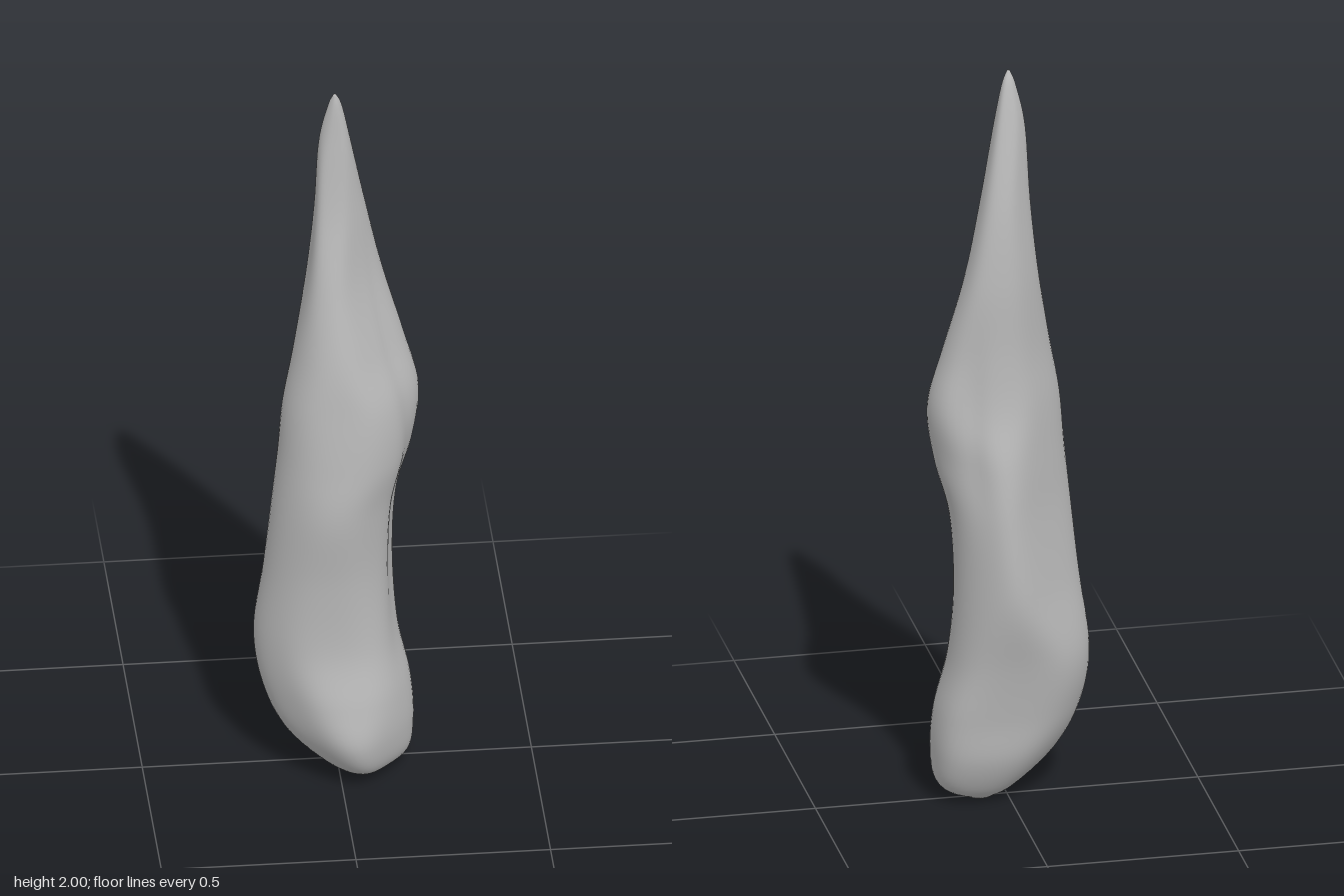
import * as THREE from 'three';

// Each row: height, then the reach of the cross-section in eight compass
// directions, turning from +x through +z, -x and -z.
const SECTIONS = [
  [0.00, 0.105, 0.092, 0.045, -0.007, -0.035, -0.022, 0.025, 0.077],
  [0.04, 0.18, 0.165, 0.16, 0.09, 0.03, 0.04, 0.075, 0.152],
  [0.13, 0.198, 0.192, 0.21, 0.152, 0.142, 0.11, 0.116, 0.19],
  [0.25, 0.192, 0.19, 0.19, 0.18, 0.202, 0.165, 0.13, 0.196],
  [0.40, 0.162, 0.165, 0.157, 0.19, 0.221, 0.19, 0.156, 0.18],
  [0.60, 0.151, 0.15, 0.162, 0.186, 0.197, 0.155, 0.202, 0.18],
  [0.80, 0.161, 0.16, 0.186, 0.186, 0.177, 0.13, 0.204, 0.185],
  [0.95, 0.202, 0.182, 0.176, 0.18, 0.162, 0.12, 0.178, 0.187],
  [1.10, 0.219, 0.172, 0.161, 0.168, 0.15, 0.11, 0.137, 0.207],
  [1.25, 0.182, 0.125, 0.144, 0.141, 0.12, 0.094, 0.122, 0.179],
  [1.45, 0.122, 0.075, 0.101, 0.11, 0.082, 0.085, 0.117, 0.149],
  [1.65, 0.077, 0.052, 0.054, 0.08, 0.059, 0.066, 0.094, 0.106],
  [1.85, 0.037, 0.034, 0.03, 0.042, 0.048, 0.045, 0.047, 0.053],
  [1.96, 0.014, 0.016, 0.02, 0.023, 0.025, 0.02, 0.016, 0.016],
  [2.00, -0.002, 0.0054, 0.012, 0.0139, 0.01, 0.0026, -0.004, -0.0059],
];
// Lengthwise hollows: direction, angular width, mid height, half length, depth
const HOLLOWS = [
  [0.28, 0.28, 0.85, 0.5, 0.1],
  [-1.0, 0.25, 1.1, 0.2, 0.1],
];
const RINGS = 98;
const SEGMENTS = 64;

// Distance from the section's centre to its softly rounded eight-sided outline
function outline(reach, cx, cz, angle) {
  let sum = 0;
  for (let k = 0; k < 8; k++) {
    const a = (k * Math.PI) / 4;
    const distance = Math.max(0.001, reach[k] - cx * Math.cos(a) - cz * Math.sin(a));
    sum += (Math.max(0, Math.cos(angle - a)) / distance) ** 8;
  }
  return sum ** (-1 / 8);
}

// Factor that presses the hollows into the outline
function hollow(angle, y) {
  return HOLLOWS.reduce((factor, [direction, width, middle, length, depth]) => {
    const a = Math.atan2(Math.sin(angle - direction), Math.cos(angle - direction));
    return factor - depth * Math.exp(-((a / width) ** 2) - ((y - middle) / length) ** 2);
  }, 1);
}

function createSpikeGeometry() {
  const steps = SECTIONS.map((_, i) => i);
  const curve = new THREE.CubicInterpolant(steps, SECTIONS.flat(), 9, new Float32Array(9));
  const positions = [];
  const indices = [];

  // Rings from the rounded base to the tip
  for (let i = 0; i <= RINGS; i++) {
    const [height, ...reach] = curve.evaluate((i / RINGS) * (SECTIONS.length - 1));
    const y = THREE.MathUtils.clamp(height, 0, 2);
    const cx = (reach[0] - reach[4]) / 2;
    const cz = (reach[2] - reach[6]) / 2;
    for (let j = 0; j < SEGMENTS; j++) {
      const angle = (j / SEGMENTS) * Math.PI * 2;
      const r = outline(reach, cx, cz, angle) * hollow(angle, y);
      positions.push(cx + r * Math.cos(angle), y, cz + r * Math.sin(angle));
    }
  }

  // Side faces
  for (let i = 0; i < RINGS; i++) {
    for (let j = 0; j < SEGMENTS; j++) {
      const next = (j + 1) % SEGMENTS;
      const a = i * SEGMENTS + j, b = i * SEGMENTS + next;
      const c = a + SEGMENTS, d = b + SEGMENTS;
      indices.push(a, c, b, b, c, d);
    }
  }

  // Closing fans at the base and tip
  const base = positions.length / 3;
  positions.push(0.07, 0, 0.01, -0.006, 2, 0.008);
  const last = RINGS * SEGMENTS;
  for (let j = 0; j < SEGMENTS; j++) {
    const next = (j + 1) % SEGMENTS;
    indices.push(base, j, next, base + 1, last + next, last + j);
  }

  const geometry = new THREE.BufferGeometry();
  geometry.setAttribute('position', new THREE.Float32BufferAttribute(positions, 3));
  geometry.setIndex(indices);
  geometry.computeVertexNormals();
  return geometry;
}

export function createModel() {
  const stone = new THREE.MeshStandardMaterial({ color: 0xb8b8b8 });
  stone.name = 'grey stone';

  const spike = new THREE.Mesh(createSpikeGeometry(), stone);
  spike.name = 'stoneSpike';

  const model = new THREE.Group();
  model.name = 'stalagmite';
  model.add(spike);
  return model;
}
